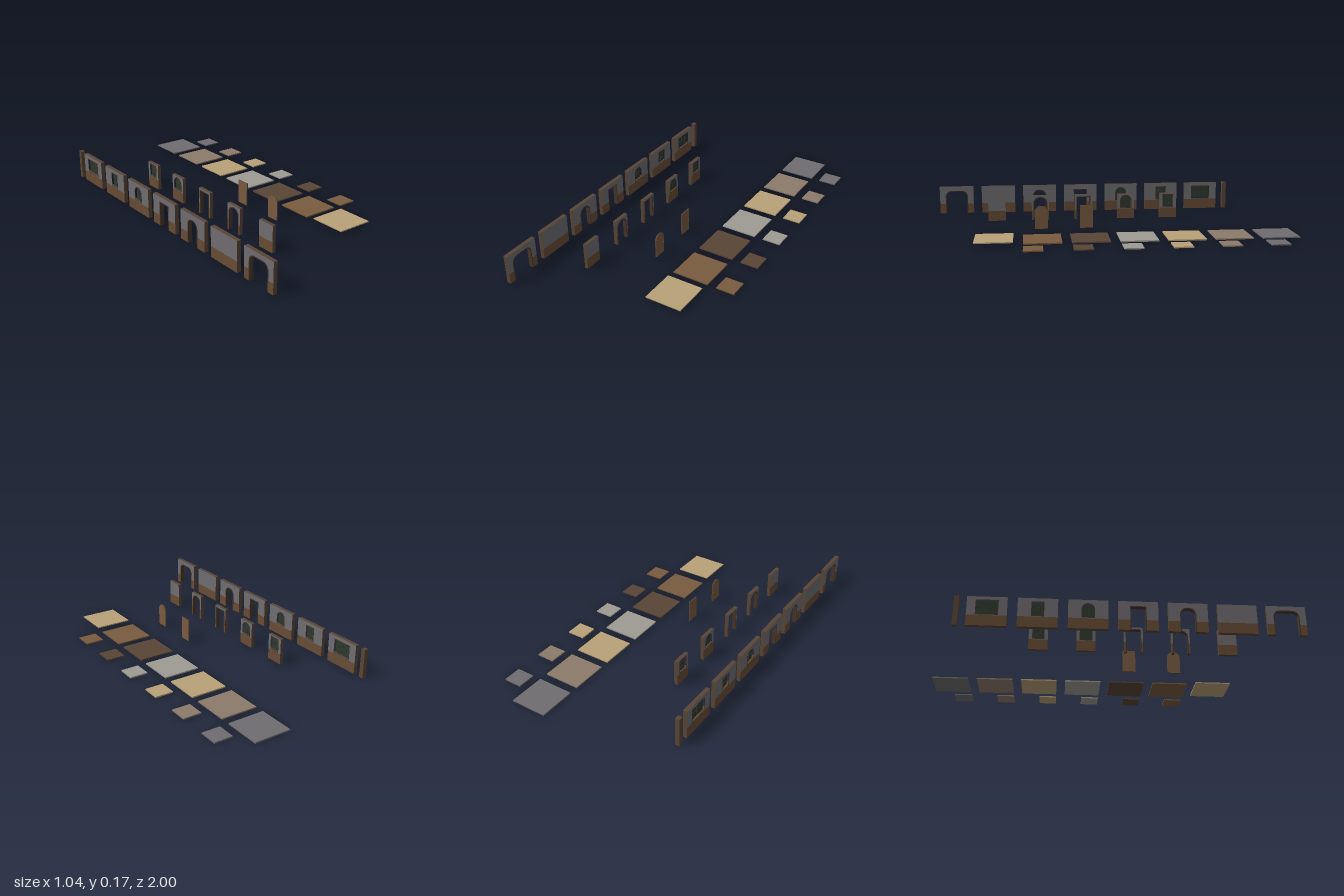
import * as THREE from 'three';

const mat = (name, color) => Object.assign(new THREE.MeshStandardMaterial({ color }), { name });
const M = {
  stone: mat('grey stone', 0x6f6d70),
  taupe: mat('taupe', 0x8b7b6c),
  tan: mat('tan', 0xb8a278),
  pale: mat('pale grey', 0x9d9b93),
  dark: mat('dark timber', 0x584636),
  brown: mat('brown wood', 0x7a5b40),
  panel: mat('wainscot wood', 0x674c35),
  glass: mat('dark green glass', 0x2b392f),
  frame: mat('frame wood', 0x45362a),
  metal: mat('handle metal', 0x77716a),
};
const U = 2 / 39;          // one kit metre
const SPLIT = 0.059;       // top of the wainscot

// Outline of an opening: up the left side, over the (rounded) head, down the right side
function outline(w, y0, y1, r) {
  const pts = [[-w / 2, y0]];
  const steps = r > 0 ? 8 : 0;
  for (const s of [-1, 1]) {
    for (let i = 0; i <= steps; i++) {
      const a = steps ? (i / steps) * Math.PI / 2 : 0;
      const c = s < 0 ? Math.cos(a) : Math.sin(a);
      const v = s < 0 ? Math.sin(a) : Math.cos(a);
      pts.push([s * (w / 2 - r + r * c), y1 - r + r * v]);
    }
  }
  pts.push([w / 2, y0]);
  return pts.map(([x, y]) => new THREE.Vector2(x, y))
    .filter((p, i, all) => !i || p.distanceTo(all[i - 1]) > 1e-5);
}

// Extrudes a flat shape (width, height) to a centred thickness
function slab(group, name, pts, depth, material, hole) {
  const shape = new THREE.Shape(pts);
  if (hole) shape.holes.push(new THREE.Path(hole));
  const geo = new THREE.ExtrudeGeometry(shape, { depth, bevelEnabled: false });
  geo.translate(0, 0, -depth / 2);
  const mesh = new THREE.Mesh(geo, material);
  mesh.name = name;
  group.add(mesh);
  return mesh;
}

function box(group, name, size, pos, material) {
  const mesh = new THREE.Mesh(new THREE.BoxGeometry(...size), material);
  mesh.position.set(...pos);
  mesh.name = name;
  group.add(mesh);
  return mesh;
}

// Wall module: wainscot below, plaster above, with an optional door or window
function wall(name, w, h, t, open) {
  const g = new THREE.Group();
  g.name = name;
  const rect = outline(w, 0, SPLIT, 0);
  const upper = outline(w, SPLIT, h, 0);
  const plaster = [M.stone, M.dark], wood = [M.panel, M.dark];
  const isDoor = open && open.y0 === 0;
  if (!open) {
    slab(g, 'wainscot', rect, t, wood);
    slab(g, 'plaster', upper, t, plaster);
  } else if (isDoor) {
    const side = (w - open.w) / 2;
    for (const s of [-1, 1]) {
      const part = slab(g, 'wainscot', outline(side, 0, SPLIT, 0), t, wood);
      part.position.x = s * (open.w + side) / 2;
    }
    const notch = outline(open.w, SPLIT, open.y1, open.r);
    slab(g, 'plaster', [...upper, ...notch.reverse()], t, plaster);
    // door casing
    const f = 0.005;
    const outer = outline(open.w, 0, open.y1, open.r);
    const inner = outline(open.w - 2 * f, 0, open.y1 - f, Math.max(open.r - f, 0));
    slab(g, 'doorCasing', [...outer, ...inner.reverse()], t + 0.002, M.frame);
  } else {
    const hole = outline(open.w, open.y0, open.y1, open.r);
    slab(g, 'wainscot', rect, t, wood);
    slab(g, 'plaster', upper, t, plaster, hole);
    // window frame, glass and glazing bars
    const f = 0.004;
    const inner = outline(open.w - 2 * f, open.y0 + f, open.y1 - f, Math.max(open.r - f, 0));
    slab(g, 'windowFrame', hole, t + 0.002, M.frame, inner);
    slab(g, 'glass', inner, 0.003, M.glass);
    const oh = open.y1 - open.y0;
    for (let i = 1; i < open.cols; i++)
      box(g, 'glazingBar', [0.002, oh - f, 0.006],
        [-open.w / 2 + i * open.w / open.cols, open.y0 + oh / 2, 0], M.frame);
    for (let i = 1; i < open.rows; i++)
      box(g, 'glazingBar', [open.w - f, 0.002, 0.006], [0, open.y0 + i * oh / open.rows, 0], M.frame);
  }
  g.rotation.y = Math.PI / 2;
  return g;
}

// Door leaf with a knob on each side
function door(name, r) {
  const g = new THREE.Group();
  g.name = name;
  slab(g, 'leaf', outline(0.073, 0.002, 0.133, r), 0.007, [M.brown, M.dark]);
  for (const s of [-1, 1]) {
    const knob = new THREE.Mesh(new THREE.SphereGeometry(0.0022, 10, 8), M.metal);
    knob.position.set(0.03, 0.063, s * 0.005);
    knob.name = 'knob';
    g.add(knob);
  }
  g.rotation.y = Math.PI / 2;
  return g;
}

export function createModel() {
  const root = new THREE.Group();
  root.name = 'buildingKit';
  const place = (part, x, z) => { part.position.set(x, 0, z * U); root.add(part); };

  const archDoor = { w: 0.084, y0: 0, y1: 0.138, r: 0.038 };
  const squareDoor = { w: 0.084, y0: 0, y1: 0.138, r: 0 };
  const archWindow = { w: 0.07, y0: 0.062, y1: 0.146, r: 0.035, cols: 2, rows: 2 };
  const smallWindow = { w: 0.066, y0: 0.062, y1: 0.146, r: 0, cols: 2, rows: 3 };
  const halfArchWindow = { ...archWindow, y1: 0.142 };
  const halfWindow = { ...smallWindow, y1: 0.142 };

  // Full-width walls
  const walls = [
    ['archwayWall', { w: 0.136, y0: 0, y1: 0.14, r: 0.036 }],
    ['plainWall', null],
    ['archedDoorWall', archDoor],
    ['squareDoorWall', squareDoor],
    ['archedWindowWall', archWindow],
    ['smallWindowWall', smallWindow],
    ['wideWindowWall', { w: 0.116, y0: 0.062, y1: 0.147, r: 0, cols: 4, rows: 2 }],
  ];
  walls.forEach(([n, o], i) => place(wall(n, 4 * U, 0.165, 0.0225, o), -0.508, 17.5 - 5 * i));

  // Corner post
  box(root, 'cornerPost', [0.0245, 0.165, 0.0256], [-0.508, 0.0825, -15.53 * U], M.dark);

  // Half-width walls
  const halves = [
    ['plainHalfWall', null],
    ['archedDoorHalfWall', archDoor],
    ['squareDoorHalfWall', squareDoor],
    ['archedWindowHalfWall', halfArchWindow],
    ['squareWindowHalfWall', halfWindow],
  ];
  halves.forEach(([n, o], i) => place(wall(n, 2 * U, 0.148, 0.0195, o), -0.2515, 12.5 - 5 * i));

  // Door leaves
  place(door('archedDoor', 0.034), 0.005, 7.5);
  place(door('squareDoor', 0), 0.005, 2.5);

  // Floor tiles, large and small
  const T = 0.0072;
  ['stone', 'taupe', 'tan', 'pale', 'dark', 'brown'].forEach((c, i) => {
    const z = -17.5 + 5 * i;
    box(root, 'largeFloor', [4 * U, T, 4 * U], [0.2625, T / 2, z * U], M[c]);
    box(root, 'smallFloor', [2 * U, T, 2 * U], [0.4665, T / 2, (z + 1) * U], M[c]);
  });

  // Raised ceiling panel
  box(root, 'ceilingPanel', [4 * U, 0.006, 4 * U], [0.2625, 0.0138, 12.5 * U], M.tan);

  return root;
}
